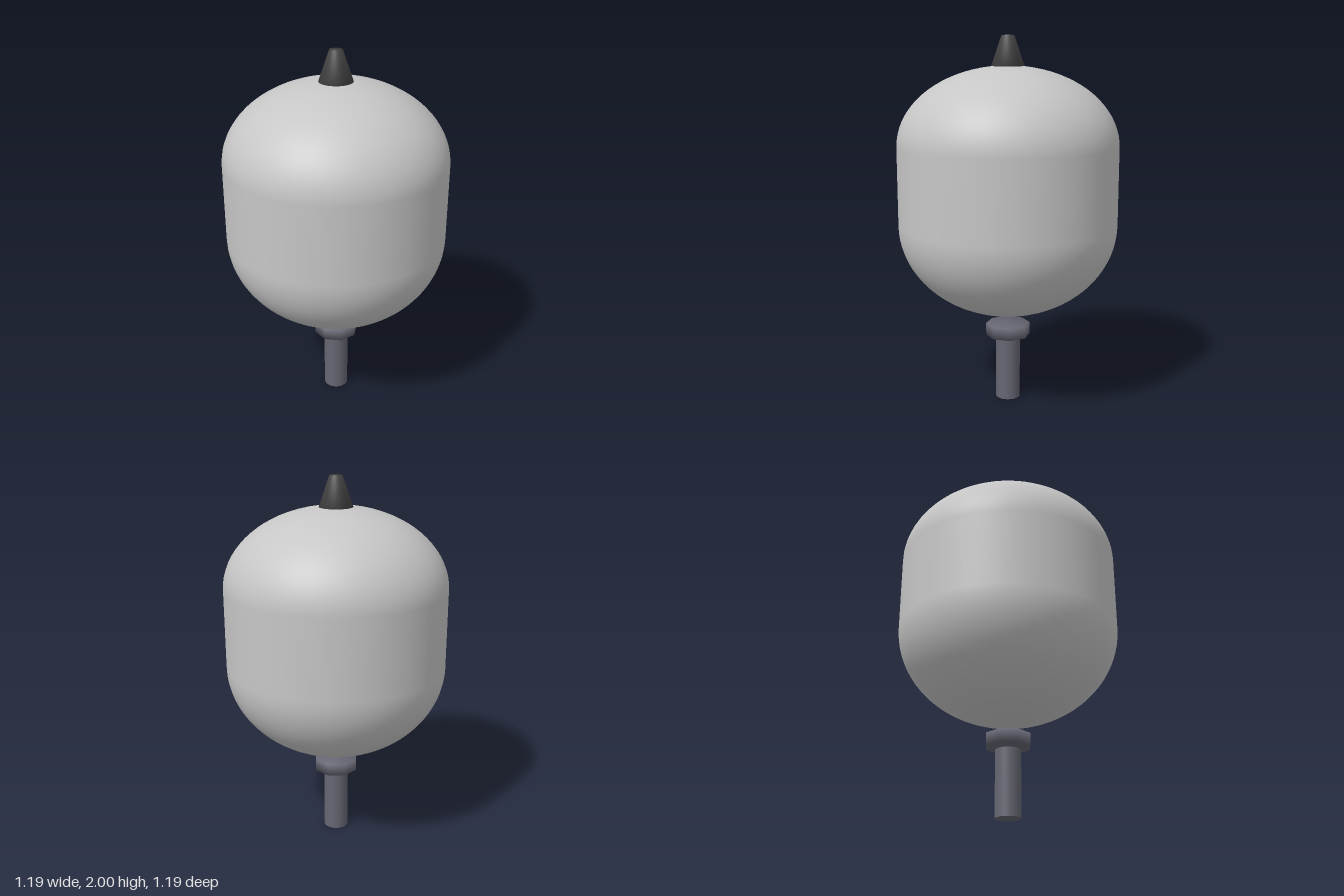
import * as THREE from 'three';

export function createModel() {
  const group = new THREE.Group();
  const paint = (name, color) => {
    const m = new THREE.MeshStandardMaterial({ color });
    m.name = name;
    return m;
  };
  const lightGrey = paint('light grey', 0xc6c6c6);
  const charcoal = paint('charcoal', 0x444444);
  const steel = paint('blue-grey steel', 0x666673);

  const add = (name, geometry, material, y = 0) => {
    const mesh = new THREE.Mesh(geometry, material);
    mesh.name = name;
    mesh.position.y = y;
    group.add(mesh);
  };
  const lathe = (points, sides, start = 0) =>
    new THREE.LatheGeometry(points.map(([x, y]) => new THREE.Vector2(x, y)), sides, start);

  // Vessel: straight wall between two elliptical domes
  const radius = 0.593, steps = 20, profile = [];
  for (let i = 0; i <= steps; i++) {
    const a = (i / steps) * Math.PI / 2;
    profile.push([radius * Math.sin(a), 1.0 - 0.5 * Math.cos(a)]);
  }
  for (let i = 0; i <= steps; i++) {
    const a = (i / steps) * Math.PI / 2;
    profile.push([radius * Math.cos(a), 1.42 + 0.425 * Math.sin(a)]);
  }
  profile[0][0] = profile[profile.length - 1][0] = 0;
  add('vessel', lathe(profile, 64), lightGrey);

  // Tapered cap on the crown, with softly shaded rim
  add('valveCap', lathe([[0, 1.84], [0.089, 1.84], [0.034, 2], [0, 2]], 32), charcoal);

  // Eight-sided nut, flats facing the axes
  add('nut', lathe([[0, 0.364], [0.122, 0.364], [0.122, 0.43], [0, 0.43]], 8, Math.PI / 8), steel);

  // Connecting pipe
  add('pipe', new THREE.CylinderGeometry(0.067, 0.067, 0.35, 32), steel, 0.175);

  return group;
}
